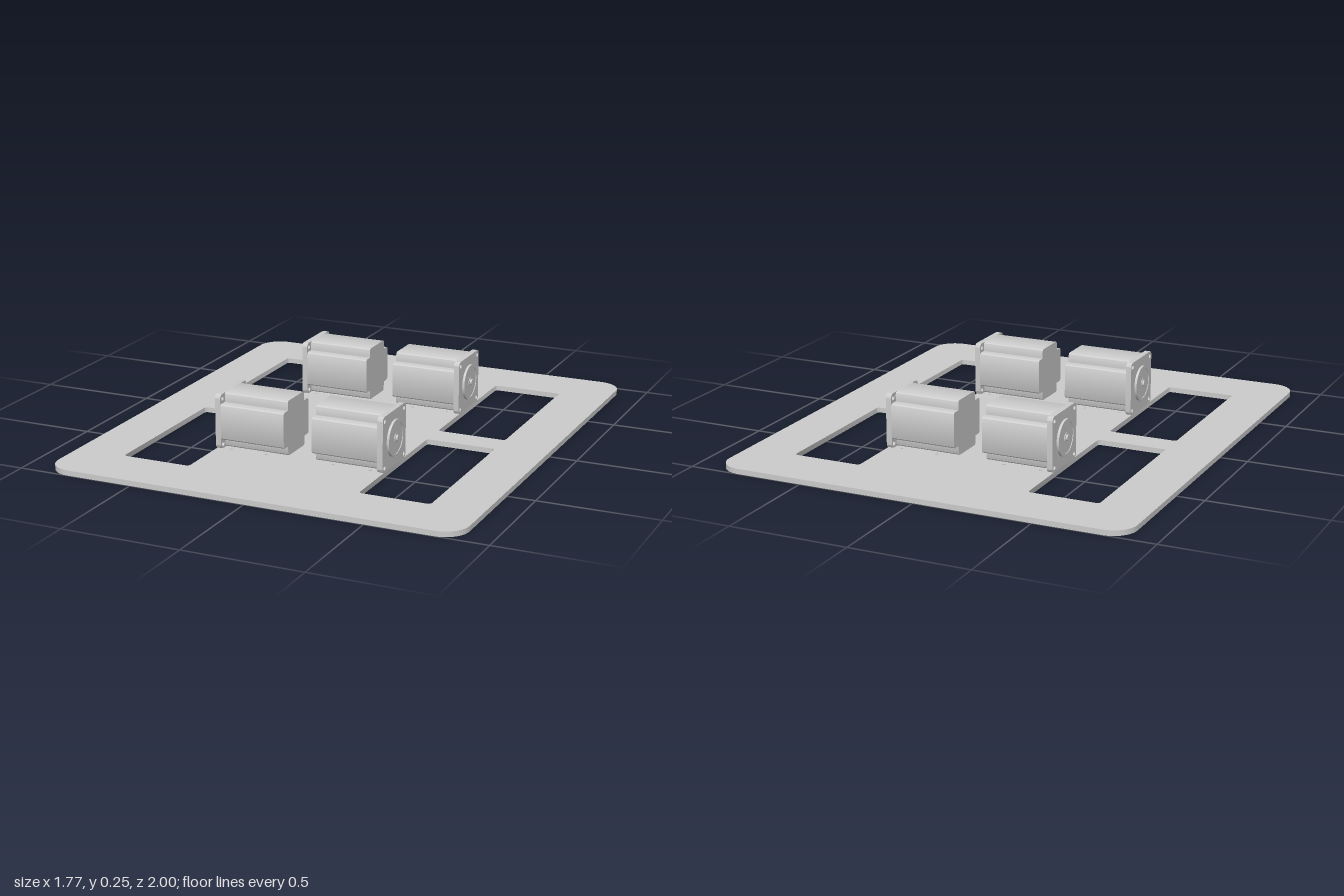
import * as THREE from 'three';
import { toCreasedNormals } from 'three/addons/utils/BufferGeometryUtils.js';

const material = new THREE.MeshStandardMaterial({ color: 0xcccccc });
const PLATE = 0.022;   // plate thickness
const HALF = 0.116;    // half the motor's square section

// Rounded rectangle, as a Shape or a hole Path
function roundedRect(Type, x0, y0, x1, y1, r) {
  const p = new Type();
  p.moveTo(x0 + r, y0);
  p.lineTo(x1 - r, y0).absarc(x1 - r, y0 + r, r, -Math.PI / 2, 0);
  p.lineTo(x1, y1 - r).absarc(x1 - r, y1 - r, r, 0, Math.PI / 2);
  p.lineTo(x0 + r, y1).absarc(x0 + r, y1 - r, r, Math.PI / 2, Math.PI);
  p.lineTo(x0, y0 + r).absarc(x0 + r, y0 + r, r, Math.PI, Math.PI * 1.5);
  return p;
}

function circleHole(x, y, r) {
  return new THREE.Path().absarc(x, y, r, 0, Math.PI * 2, true);
}

function extrude(shape, depth, curveSegments = 8) {
  const g = new THREE.ExtrudeGeometry(shape, { depth, bevelEnabled: false, curveSegments });
  return toCreasedNormals(g, 0.6);
}

function mesh(name, geometry) {
  const m = new THREE.Mesh(geometry, material);
  m.name = name;
  return m;
}

const signs = [-1, 1];

// Base plate with four wheel openings and motor fixing holes
function makePlate() {
  const shape = roundedRect(THREE.Shape, -0.885, -1, 0.885, 1, 0.1);
  for (const sx of signs) for (const sz of signs) {
    const cx = sx * 0.52, cz = sz * 0.407;
    shape.holes.push(roundedRect(THREE.Path, cx - 0.149, cz - 0.347, cx + 0.149, cz + 0.347, 0.014));
    for (const x of [0.15, 0.31]) for (const dz of [-0.097, 0.097]) {
      shape.holes.push(circleHole(sx * x, sz * 0.408 + dz, 0.006));
    }
  }
  const plate = mesh('basePlate', extrude(shape, PLATE, 12));
  plate.rotation.x = Math.PI / 2;
  plate.position.y = PLATE;
  return plate;
}

// Square section with a stepped recess along each corner
function bodyShape() {
  const n = 0.04, r = 0.012, h = HALF, shape = new THREE.Shape();
  const corner = [[h, h - n - r], 'arc', [h - n, h - n], [h - n, h - r], 'arc2'];
  for (let i = 0; i < 4; i++) {
    const a = i * Math.PI / 2, c = Math.cos(a), s = Math.sin(a);
    const turn = (x, y) => [x * c - y * s, x * s + y * c];
    const start = turn(...corner[0]);
    if (i === 0) shape.moveTo(...start); else shape.lineTo(...start);
    shape.absarc(...turn(h - r, h - n - r), r, a, a + Math.PI / 2);
    shape.lineTo(...turn(...corner[2]));
    shape.lineTo(...turn(...corner[3]));
    shape.absarc(...turn(h - n - r, h - r), r, a, a + Math.PI / 2);
  }
  return shape;
}

// Motor built along +z, from its rear face to the shaft tip
function makeMotor() {
  const motor = new THREE.Group();
  motor.name = 'motor';

  const body = mesh('motorBody', extrude(bodyShape(), 0.285));
  body.position.z = 0.062;

  const flangeShape = roundedRect(THREE.Shape, -HALF, -HALF, HALF, HALF, 0.018);
  for (const sx of signs) for (const sy of signs) {
    flangeShape.holes.push(circleHole(sx * 0.097, sy * 0.097, 0.01));
  }
  const flange = mesh('mountingFlange', extrude(flangeShape, 0.024));
  flange.position.z = 0.347;

  // Pilot ring with a shallow recess around the shaft
  const profile = [[0.077, 0], [0.077, 0.01], [0.066, 0.01], [0.066, 0.007], [0.02, 0.007], [0.02, 0.01], [0, 0.01]]
    .map(([x, y]) => new THREE.Vector2(x, y));
  const pilot = mesh('pilotRing', toCreasedNormals(new THREE.LatheGeometry(profile, 40), 0.6));
  pilot.rotation.x = Math.PI / 2;
  pilot.position.z = 0.371;

  const shaft = mesh('shaft', new THREE.CylinderGeometry(0.013, 0.013, 0.018, 24));
  shaft.rotation.x = Math.PI / 2;
  shaft.position.z = 0.38;

  motor.add(body, flange, pilot, shaft);
  return motor;
}

export function createModel() {
  const model = new THREE.Group();
  model.name = 'motorPlatform';
  model.add(makePlate());
  // Four motors, each facing outward over its opening
  for (const sx of signs) for (const sz of signs) {
    const motor = makeMotor();
    motor.rotation.y = sx * Math.PI / 2;
    motor.position.set(0, PLATE + HALF, sz * 0.408);
    model.add(motor);
  }
  return model;
}
